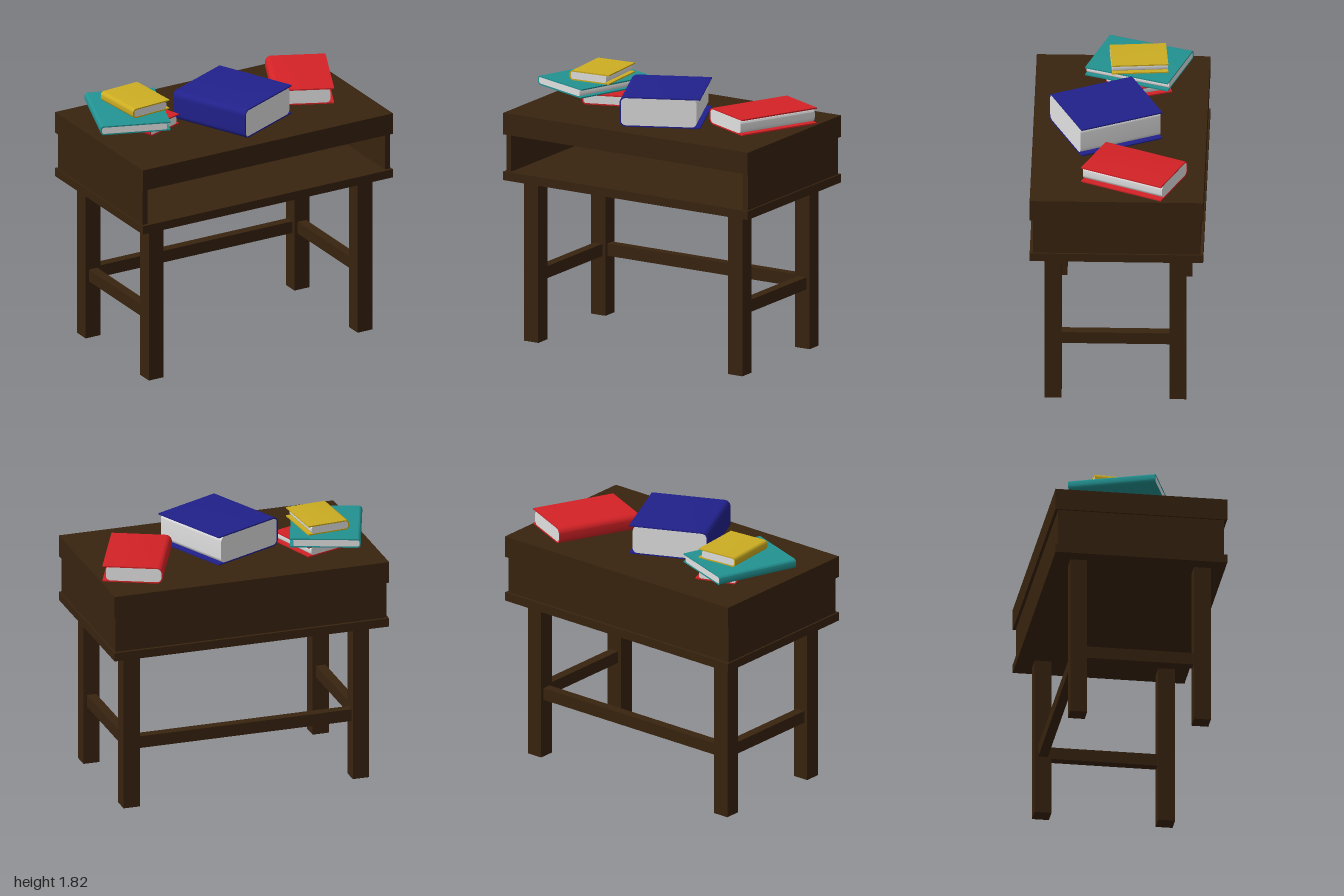
import * as THREE from 'three';
import { toCreasedNormals } from 'three/addons/utils/BufferGeometryUtils.js';

function paint(name, color) {
  const m = new THREE.MeshStandardMaterial({ color });
  m.name = name;
  return m;
}

export function createModel() {
  const wood = paint('dark wood', 0x38230f);
  const paper = paint('paper', 0xe0e0e0);
  const red = paint('red cover', 0xd42226);
  const blue = paint('blue cover', 0x21218c);
  const teal = paint('teal cover', 0x239292);
  const yellow = paint('yellow cover', 0xccad22);

  const model = new THREE.Group();
  model.name = 'deskWithBooks';
  const desk = new THREE.Group();
  desk.name = 'desk';
  desk.position.x = 0.018;
  model.add(desk);

  // Box given by its limits on each axis
  function box(name, x0, x1, y0, y1, z0, z1) {
    const mesh = new THREE.Mesh(new THREE.BoxGeometry(x1 - x0, y1 - y0, z1 - z0), wood);
    mesh.name = name;
    mesh.position.set((x0 + x1) / 2, (y0 + y1) / 2, (z0 + z1) / 2);
    desk.add(mesh);
  }

  // Top, floor and the compartment that is open at the front
  box('deskTop', -0.98, 0.98, 1.45, 1.6, -0.587, 0.587);
  box('compartmentFloor', -0.98, 0.98, 1.13, 1.19, -0.587, 0.587);
  box('rightPanel', -0.968, -0.93, 1.19, 1.45, -0.567, 0.565);
  box('leftPanel', 0.93, 0.968, 1.19, 1.45, -0.567, 0.565);
  box('backPanel', -0.93, 0.93, 1.19, 1.45, -0.567, -0.53);

  // Legs and the side stretchers between them
  for (const s of [-1, 1]) {
    const x = s * 0.818;
    box('frontLeg', x - 0.058, x + 0.058, 0, 1.13, 0.375, 0.49);
    box('backLeg', x - 0.058, x + 0.058, 0, 1.13, -0.47, -0.355);
    box('sideStretcher', x - 0.033, x + 0.033, 0.415, 0.5, -0.355, 0.375);
  }
  box('backStretcher', -0.76, 0.76, 0.415, 0.5, -0.445, -0.38);

  // Profile extruded along z and centred
  function extrude(name, shape, depth, material) {
    const geo = new THREE.ExtrudeGeometry(shape, { depth, bevelEnabled: false, curveSegments: 6 });
    geo.translate(0, 0, -depth / 2);
    const mesh = new THREE.Mesh(toCreasedNormals(geo, 0.6), material);
    mesh.name = name;
    return mesh;
  }

  // Book lying flat: spine at local -x, angle set by the spine to fore-edge direction
  function book(name, cover, w, length, y0, y1, x, z, dx, dz) {
    const h = y1 - y0;
    const t = 0.009;
    const r = Math.min(0.042, h * 0.36);
    const a = -w / 2;
    const b = w / 2;
    const ri = r - t;

    // Wrap-round cover with rounded spine corners
    const c = new THREE.Shape();
    c.moveTo(b, 0);
    c.lineTo(b, t);
    c.lineTo(a + r, t);
    c.absarc(a + r, r, ri, -Math.PI / 2, -Math.PI, true);
    c.lineTo(a + t, h - r);
    c.absarc(a + r, h - r, ri, Math.PI, Math.PI / 2, true);
    c.lineTo(b, h - t);
    c.lineTo(b, h);
    c.lineTo(a + r, h);
    c.absarc(a + r, h - r, r, Math.PI / 2, Math.PI, false);
    c.lineTo(a, r);
    c.absarc(a + r, r, r, Math.PI, Math.PI * 1.5, false);
    c.closePath();

    // Page block with rounded edges, set in from the fore-edge
    const e = b - 0.024;
    const p = new THREE.Shape();
    p.absarc(e - ri, r, ri, -Math.PI / 2, 0, false);
    p.absarc(e - ri, h - r, ri, 0, Math.PI / 2, false);
    p.absarc(a + r, h - r, ri, Math.PI / 2, Math.PI, false);
    p.absarc(a + r, r, ri, Math.PI, Math.PI * 1.5, false);
    p.closePath();

    const group = new THREE.Group();
    group.name = name;
    group.add(extrude('cover', c, length, cover), extrude('pages', p, length - 0.004, paper));
    group.position.set(x, y0, z);
    group.rotation.y = Math.atan2(-dz, dx);
    model.add(group);
  }

  book('blueBook', blue, 0.55, 0.595, 1.605, 1.813, 0.028, 0.095, 0.5, -0.23);
  book('redBook', red, 0.41, 0.6, 1.603, 1.717, 0.677, -0.113, 0.37, 0.17);
  book('smallRedBook', red, 0.3, 0.38, 1.603, 1.677, -0.55, -0.113, 0.95, -0.33);
  book('tealBook', teal, 0.48, 0.6, 1.683, 1.747, -0.672, -0.113, 0.45, 0.162);
  book('yellowBook', yellow, 0.3, 0.38, 1.751, 1.819, -0.612, -0.113, 0.3, -0.025);

  return model;
}
